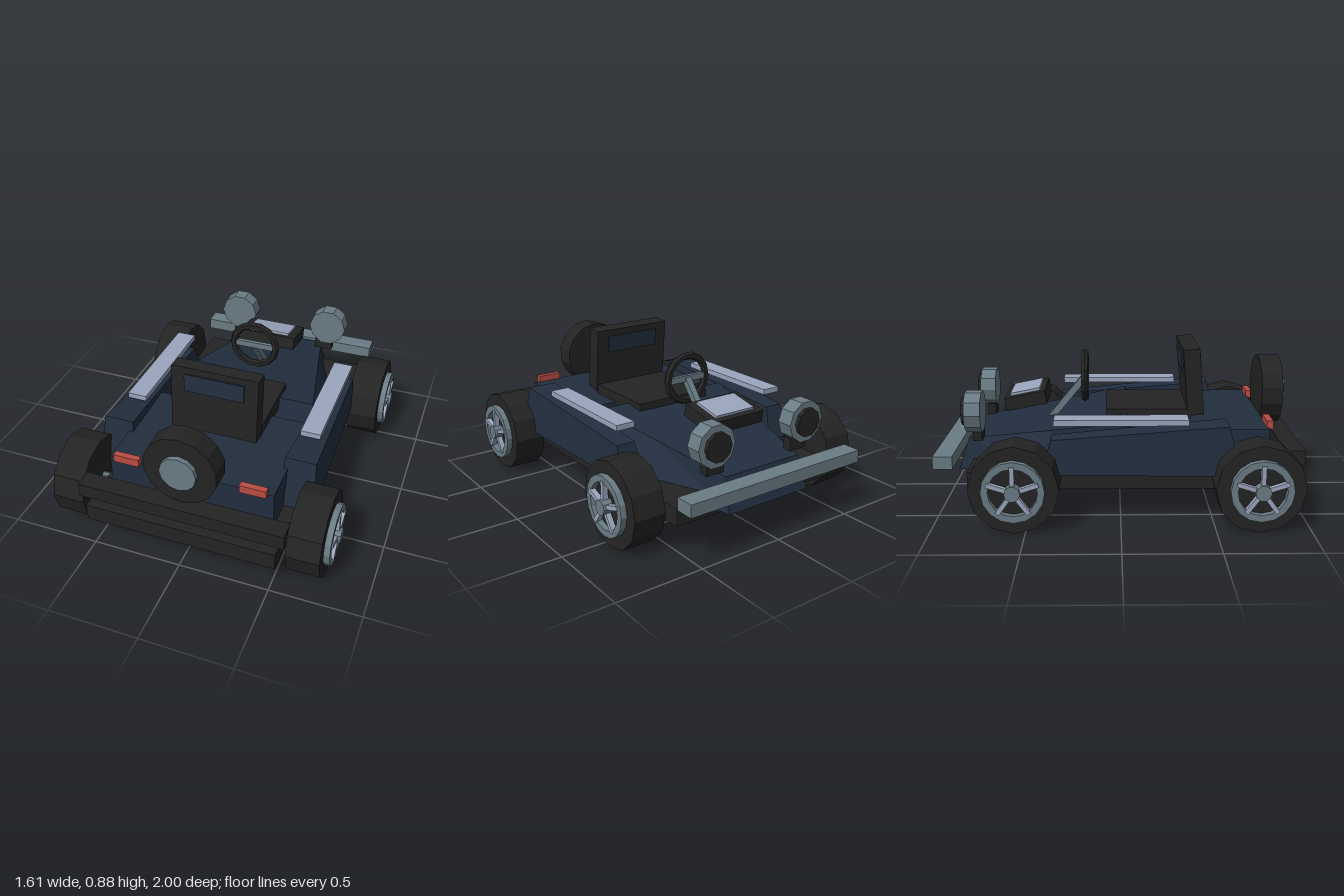
import * as THREE from 'three';

const mat = (name, color) => Object.assign(new THREE.MeshStandardMaterial({ color, flatShading: true }), { name });

export function createModel() {
  const black = mat('rubber black', 0x242424);
  const navy = mat('body navy', 0x222e3f);
  const slate = mat('slate metal', 0x6a7c85);
  const light = mat('pale trim', 0x9aa5bd);
  const red = mat('lamp red', 0xba4d42);
  const car = new THREE.Group();
  car.name = 'buggy';

  const add = (name, geo, material, x = 0, y = 0, z = 0, parent = car) => {
    const m = new THREE.Mesh(geo, material);
    m.name = name;
    m.position.set(x, y, z);
    parent.add(m);
    return m;
  };
  // box given by its min and max on each axis
  const box = (name, material, x0, x1, y0, y1, z0, z1, parent = car) =>
    add(name, new THREE.BoxGeometry(x1 - x0, y1 - y0, z1 - z0), material,
      (x0 + x1) / 2, (y0 + y1) / 2, (z0 + z1) / 2, parent);
  const cylX = (r, len, n) => new THREE.CylinderGeometry(r, r, len, n).rotateZ(Math.PI / 2);
  const cylZ = (r, len, n, start = 0) =>
    new THREE.CylinderGeometry(r, r, len, n, 1, false, start).rotateX(Math.PI / 2);

  // four-cornered section: bottom edge, then top edge
  const section = (xb0, xb1, yb, zb, xt0, xt1, yt, zt) =>
    [[xb0, yb, zb], [xb1, yb, zb], [xt1, yt, zt], [xt0, yt, zt]];
  // closed solid through sections ordered towards +z
  const loft = (secs) => {
    const p = [];
    const quad = (a, b, c, d) => p.push(...a, ...b, ...c, ...a, ...c, ...d);
    for (let k = 0; k < secs.length - 1; k++) {
      const A = secs[k], B = secs[k + 1];
      for (let i = 0; i < 4; i++) quad(A[i], A[(i + 1) % 4], B[(i + 1) % 4], B[i]);
    }
    const F = secs[0], L = secs[secs.length - 1];
    quad(F[3], F[2], F[1], F[0]);
    quad(L[0], L[1], L[2], L[3]);
    const g = new THREE.BufferGeometry();
    g.setAttribute('position', new THREE.Float32BufferAttribute(p, 3));
    g.computeVertexNormals();
    return g;
  };

  // chassis, bumpers and axles
  box('chassis', black, -0.53, 0.53, 0.165, 0.262, -0.83, 0.995);
  box('rearBumper', black, -0.57, 0.57, 0.31, 0.39, 0.88, 0.985);
  box('noseBumper', slate, -0.575, 0.575, 0.295, 0.365, -1, -0.895);
  for (const z of [-0.555, 0.725]) add('axle', cylX(0.022, 1.2, 8), slate, 0, 0.24, z);

  // tapered hood and rear deck
  add('hood', loft([
    section(-0.27, 0.27, 0.19, -0.92, -0.25, 0.25, 0.37, -0.86),
    section(-0.44, 0.44, 0.255, -0.43, -0.345, 0.345, 0.44, -0.41),
    section(-0.45, 0.45, 0.255, 0.1, -0.44, 0.44, 0.51, 0.04),
  ]), navy);
  box('rearDeck', navy, -0.46, 0.46, 0.255, 0.478, 0.18, 0.81);

  // side pods with trim, lamps
  for (const s of [-1, 1]) {
    const pair = (a, b) => (s > 0 ? [a, b] : [-b, -a]);
    add('sidePod', loft([
      section(...pair(0.45, 0.59), 0.265, -0.43, ...pair(0.47, 0.58), 0.455, -0.37),
      section(...pair(0.43, 0.625), 0.265, 0.64, ...pair(0.44, 0.61), 0.535, 0.57),
    ]), navy);
    box('podTrim', light, ...pair(0.46, 0.572), 0.53, 0.562, -0.355, 0.36);
    box('tailLight', red, ...pair(0.28, 0.425), 0.47, 0.515, 0.8, 0.835);
    box('headlightMount', black, ...pair(0.23, 0.34), 0.38, 0.45, -0.82, -0.77);
    add('headlight', cylZ(0.117, 0.09, 10, Math.PI / 10), slate, s * 0.305, 0.545, -0.81);
    add('headlightLens', cylZ(0.08, 0.025, 10, Math.PI / 10), black, s * 0.305, 0.545, -0.864);
  }

  // road wheels
  for (const s of [-1, 1]) for (const z of [-0.555, 0.725]) {
    const w = new THREE.Group();
    w.name = 'wheel';
    w.position.set(s * 0.66, 0.238, z);
    car.add(w);
    add('tyre', cylX(0.237, 0.18, 12), black, 0, 0, 0, w);
    const ring = new THREE.Shape().absarc(0, 0, 0.165, 0, Math.PI * 2);
    ring.holes.push(new THREE.Path().absarc(0, 0, 0.128, 0, Math.PI * 2));
    const rim = new THREE.ExtrudeGeometry(ring, { depth: 0.035, bevelEnabled: false, curveSegments: 8 });
    add('rim', rim.rotateY(s * Math.PI / 2), slate, s * 0.088, 0, 0, w);
    add('hub', cylX(0.042, 0.06, 10), slate, s * 0.115, 0, 0, w);
    for (let i = 0; i < 5; i++) {
      const spoke = new THREE.BoxGeometry(0.03, 0.11, 0.024).translate(0, 0.085, 0);
      add('spoke', spoke.rotateX(i * Math.PI * 0.4), light, s * 0.115, 0, 0, w);
    }
  }

  // spare wheel
  add('spareTyre', cylZ(0.202, 0.12, 14), black, 0, 0.6, 0.87);
  add('spareHub', cylZ(0.1, 0.05, 12), slate, 0, 0.6, 0.932);

  // seat with reclined back and inset panel
  box('seatCushion', black, -0.24, 0.24, 0.44, 0.535, -0.08, 0.4);
  const back = new THREE.Group();
  back.name = 'seatBack';
  back.position.set(0, 0.5, 0.43);
  back.rotation.x = -0.085;
  car.add(back);
  box('backrest', black, -0.247, 0.247, 0, 0.378, -0.046, 0.046, back);
  box('backPanel', navy, -0.17, 0.17, 0.24, 0.34, -0.055, 0.055, back);

  // steering wheel and column
  add('steeringWheel', new THREE.TorusGeometry(0.132, 0.022, 6, 14), black, 0, 0.68, -0.203);
  box('steeringBar', slate, -0.125, 0.125, 0.662, 0.698, -0.215, -0.192);
  const column = add('steeringColumn', new THREE.BoxGeometry(0.038, 0.35, 0.038), slate, 0, 0.54, -0.315);
  column.rotation.x = 0.69;

  // tilted instrument box
  const dash = new THREE.Group();
  dash.name = 'dashboard';
  dash.position.set(0, 0.567, -0.538);
  dash.rotation.x = -0.2;
  car.add(dash);
  box('dashBox', black, -0.178, 0.178, -0.037, 0.037, -0.117, 0.117, dash);
  box('dashPanel', light, -0.13, 0.13, 0.037, 0.052, -0.085, 0.088, dash);

  return car;
}
